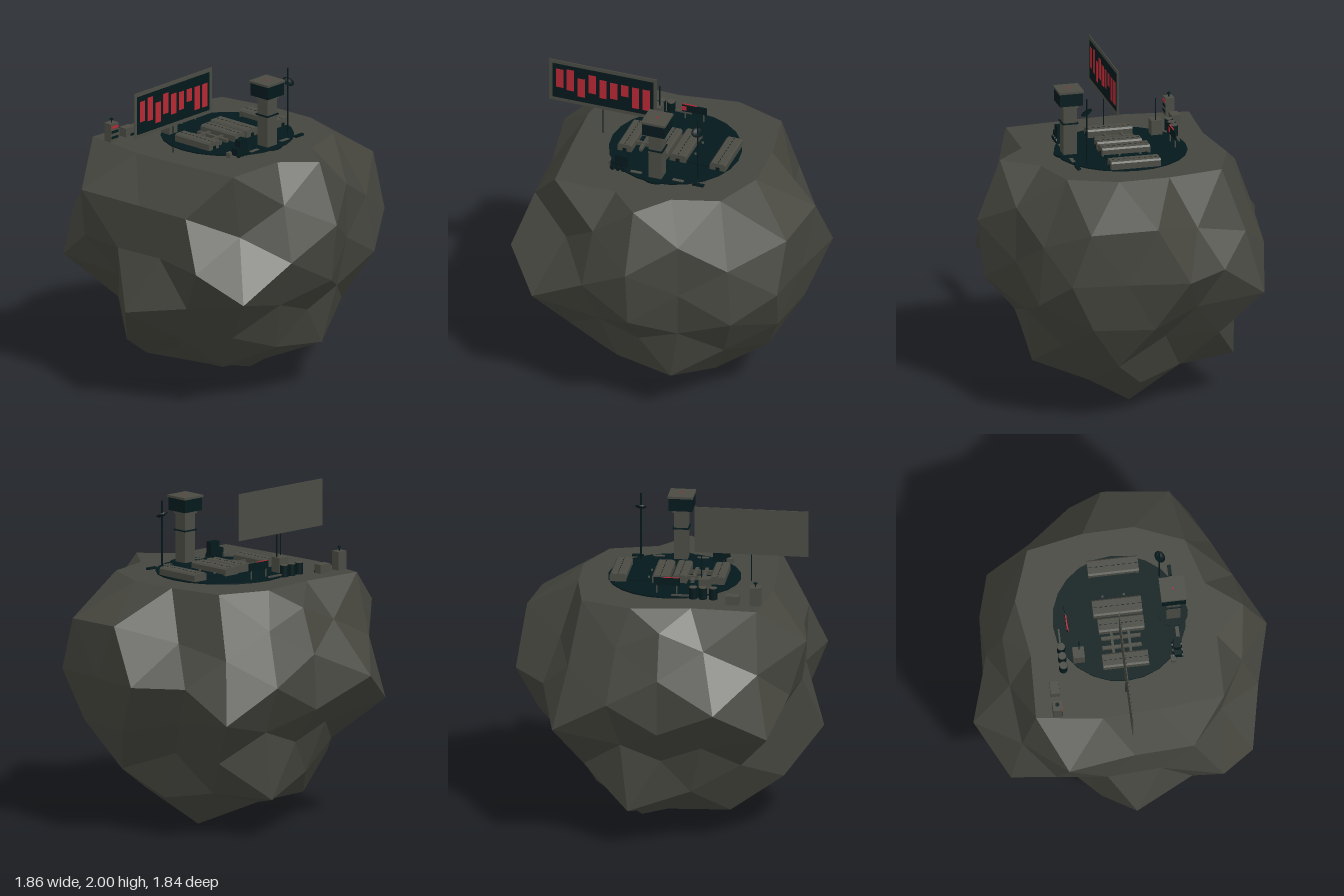
import * as THREE from 'three';

const mat = (name, color, opts = {}) => {
  const m = new THREE.MeshStandardMaterial({ color, ...opts });
  m.name = name;
  return m;
};

// Rock radii per latitude level (100 * unit height), ordered round from +x towards +z
const ROCK_RADII = {
  73: [0.83, 0.88, 0.86, 0.94], 65: [0.79, 0.83, 0.86, 0.78], 58: [0.79, 0.99, 1.0, 0.87],
  53: [0.89, 0.84], 40: [0.85, 0.84, 0.82, 0.82], 36: [0.967, 0.85], 33: [1.01, 0.905, 1.01, 0.77],
  20: [0.86, 0.92, 0.77, 0.91, 0.83, 0.87],
  0: [0.9, 0.99, 0.78, 0.87, 1.02, 0.8, 0.82, 0.9, 1.0, 0.875, 0.875, 0.966],
  '-20': [0.91, 0.875, 1.01, 1.015, 0.85, 1.0], '-33': [0.93, 0.88, 0.75, 0.77], '-36': [0.89, 0.98],
  '-40': [0.78, 0.78, 0.76, 0.76], '-53': [0.775, 0.76], '-58': [0.85, 0.87, 0.81, 0.85],
  '-65': [0.91, 0.84, 0.95, 0.72], '-73': [0.925, 0.86, 0.85, 1.0],
  '-85': [0.91, 0.9, 0.9, 0.82, 0.95, 0.85], '-93': [0.86, 0.88], '-98': [0.996, 0.88],
};

// Icosphere pushed in and out, with the top levelled into a plateau
function rockGeometry() {
  const geo = new THREE.IcosahedronGeometry(1, 2);
  const pos = geo.attributes.position;
  const v = new THREE.Vector3();
  const level = () => String(Math.round(v.y * 100) + 0);
  const turn = () => Math.round(((Math.atan2(v.z, v.x) + 2 * Math.PI + 1e-3) % (2 * Math.PI)) * 50);
  const turns = {};
  for (let i = 0; i < pos.count; i++) {
    v.fromBufferAttribute(pos, i);
    (turns[level()] ??= new Set()).add(turn());
  }
  for (const k in turns) turns[k] = [...turns[k]].sort((a, b) => a - b);
  for (let i = 0; i < pos.count; i++) {
    v.fromBufferAttribute(pos, i);
    const k = level();
    const r = ROCK_RADII[k]?.[turns[k].indexOf(turn())] ?? 0.85;
    v.multiplyScalar(r);
    if (v.y > 0.45) v.y = 0.56;
    pos.setXYZ(i, v.x - 0.015, v.y + 0.98, v.z + 0.015);
  }
  geo.computeVertexNormals();
  return geo;
}

export function createModel() {
  const root = new THREE.Group();
  root.name = 'asteroidBase';
  const rock = mat('rock grey', 0x46463f, { flatShading: true });
  const metal = mat('metal grey', 0x4b4b44);
  const dark = mat('dark teal', 0x04191c);
  const red = mat('signal red', 0xb62833);
  const G = 1.54; // plateau height

  const add = (name, geo, m, x, y, z, parent = root) => {
    const mesh = new THREE.Mesh(geo, m);
    mesh.name = name;
    mesh.position.set(x, y, z);
    parent.add(mesh);
    return mesh;
  };
  // Box and cylinder standing on height y
  const box = (name, m, w, h, d, x, y, z, p) =>
    add(name, new THREE.BoxGeometry(w, h, d), m, x, y + h / 2, z, p);
  const cyl = (name, m, r, h, x, y, z, p, sides = 12) =>
    add(name, new THREE.CylinderGeometry(r, r, h, sides), m, x, y + h / 2, z, p);
  const group = (name) => {
    const g = new THREE.Group();
    g.name = name;
    root.add(g);
    return g;
  };

  add('asteroid', rockGeometry(), rock, 0, 0, 0);
  cyl('basePad', dark, 0.405, 0.008, -0.015, G, 0.015, root, 24);

  // Long barracks with chamfered roofs
  const barracks = (x, w, z0, z1) => {
    const g = group('barracks');
    const s = new THREE.Shape();
    const h = 0.048, c = 0.01;
    s.moveTo(-w / 2, 0);
    s.lineTo(w / 2, 0);
    s.lineTo(w / 2, h - c);
    s.lineTo(w / 2 - c, h);
    s.lineTo(-w / 2 + c, h);
    s.lineTo(-w / 2, h - c);
    const len = z1 - z0;
    add('hall', new THREE.ExtrudeGeometry(s, { depth: len, bevelEnabled: false }), metal, x, G + 0.008, z0, g);
    for (let i = 0; i < 9; i++)
      box('roofSeam', dark, 0.004, 0.002, len * 0.06, x, G + 0.055, z0 + len * (i + 0.5) / 9, g);
    box('door', dark, 0.024, 0.022, 0.006, x, G + 0.008, z1, g);
  };
  barracks(-0.292, 0.09, -0.12, 0.16);
  barracks(-0.062, 0.09, -0.12, 0.16);
  barracks(0.052, 0.104, -0.14, 0.16);
  barracks(0.312, 0.1, -0.14, 0.17);

  // Links and pipes between the halls
  for (const z of [-0.045, 0.06]) box('corridor', metal, 0.15, 0.025, 0.016, -0.177, G + 0.008, z);
  for (const x of [-0.2, -0.14]) box('pipe', metal, 0.02, 0.02, 0.24, x, G + 0.008, 0.01);
  box('courtFloor', dark, 0.16, 0.008, 0.27, 0.183, G + 0.008, 0.015);
  for (const z of [-0.07, 0.06]) cyl('vent', metal, 0.007, 0.01, 0.13, G + 0.016, z);

  // Control tower
  const tower = group('controlTower');
  cyl('towerFooting', dark, 0.092, 0.012, -0.015, G, 0.342, tower, 16);
  box('towerShaft', metal, 0.083, 0.32, 0.083, -0.015, G, 0.342, tower);
  box('towerBand', dark, 0.1, 0.008, 0.1, -0.015, 1.745, 0.342, tower);
  box('towerNeck', metal, 0.1, 0.02, 0.1, -0.015, 1.85, 0.342, tower);
  box('towerCabin', dark, 0.145, 0.08, 0.145, -0.015, 1.87, 0.342, tower);
  box('towerRoof', metal, 0.155, 0.014, 0.155, -0.015, 1.95, 0.342, tower);
  cyl('beacon', red, 0.006, 0.004, -0.015, 1.964, 0.342, tower);

  // Mast with a shallow dish tipped to the front
  const mast = group('dishMast');
  cyl('pole', dark, 0.005, 0.43, 0.228, G, 0.29, mast, 6);
  const bowl = [[0, -0.008], [0.022, -0.005], [0.038, 0.004], [0.022, -0.001], [0, -0.004]];
  const dish = add('dish', new THREE.LatheGeometry(bowl.map(([x, y]) => new THREE.Vector2(x, y)), 16),
    dark, 0.228, 1.88, 0.29, mast);
  dish.rotation.x = 0.55;

  // Billboard with a row of red bars
  const board = group('billboard');
  box('boardFrame', metal, 0.695, 0.29, 0.005, -0.487, 1.71, 0, board);
  box('boardScreen', dark, 0.65, 0.242, 0.003, -0.487, 1.734, 0.003, board);
  const bars = [[1.81, 0.13], [1.8, 0.15], [1.77, 0.13], [1.81, 0.13], [1.79, 0.13],
    [1.8, 0.115], [1.835, 0.08], [1.765, 0.148], [1.765, 0.148]];
  bars.forEach(([y, h], i) => box('bar', red, 0.047, h, 0.002, -0.766 + i * 0.07, y, 0.005, board));
  cyl('boardPost', dark, 0.003, 0.17, -0.487, G, 0, board, 6);

  // Small sign behind the halls
  const sign = group('statusSign');
  box('signPanel', dark, 0.16, 0.05, 0.008, -0.01, 1.596, -0.31, sign);
  box('signMark', red, 0.03, 0.028, 0.004, -0.075, 1.606, -0.305, sign);
  box('signTrim', red, 0.095, 0.003, 0.008, -0.038, 1.646, -0.31, sign);
  for (const x of [-0.07, 0.05]) cyl('signPost', metal, 0.005, 0.06, x, G, -0.31, sign, 6);

  // Fuel tanks and their pipe
  for (const x of [-0.3, -0.238, -0.178]) {
    cyl('tank', dark, 0.026, 0.07, x, G, -0.36);
    cyl('tankLid', metal, 0.024, 0.004, x, G + 0.07, -0.36);
  }
  box('fuelPipe', metal, 0.13, 0.01, 0.01, -0.11, G + 0.01, -0.36);

  // Radio hut with whip aerial
  box('radioHut', metal, 0.072, 0.1, 0.07, -0.237, G, -0.26);
  cyl('aerial', dark, 0.004, 0.14, -0.215, G + 0.1, -0.255, root, 6);

  // Outlying huts, with coloured bands on the front only
  const post = group('outpost');
  box('outpostBody', metal, 0.066, 0.115, 0.056, -0.57, G, -0.43, post);
  for (const [y, m] of [[0.02, dark], [0.055, dark], [0.085, red]])
    box('outpostBand', m, 0.062, 0.016, 0.004, -0.57, G + y, -0.402, post);
  cyl('outpostAerial', dark, 0.004, 0.03, -0.57, G + 0.115, -0.43, post, 6);
  cyl('outpostCap', dark, 0.012, 0.006, -0.57, G + 0.135, -0.43, post);
  box('storeHut', metal, 0.08, 0.055, 0.055, -0.43, G, -0.43);
  box('storeDoor', dark, 0.04, 0.015, 0.004, -0.41, G, -0.402);

  // Rover
  const rover = group('rover');
  box('roverBody', dark, 0.1, 0.045, 0.045, -0.26, G + 0.015, 0.34, rover);
  box('roverCab', dark, 0.07, 0.045, 0.04, -0.245, G + 0.06, 0.34, rover);
  for (const x of [-0.295, -0.26, -0.225])
    for (const z of [0.315, 0.365])
      cyl('wheel', dark, 0.016, 0.012, x, G + 0.012, z, rover).rotation.x = Math.PI / 2;
  box('crate', metal, 0.04, 0.03, 0.03, -0.315, G, 0.31);

  // Low barriers along the front
  box('barrier', metal, 0.07, 0.012, 0.022, -0.145, G, 0.355);
  box('barrier', metal, 0.07, 0.012, 0.022, 0.125, G, 0.355);
  box('barrier', dark, 0.07, 0.012, 0.022, 0.255, G, 0.355);

  return root;
}
